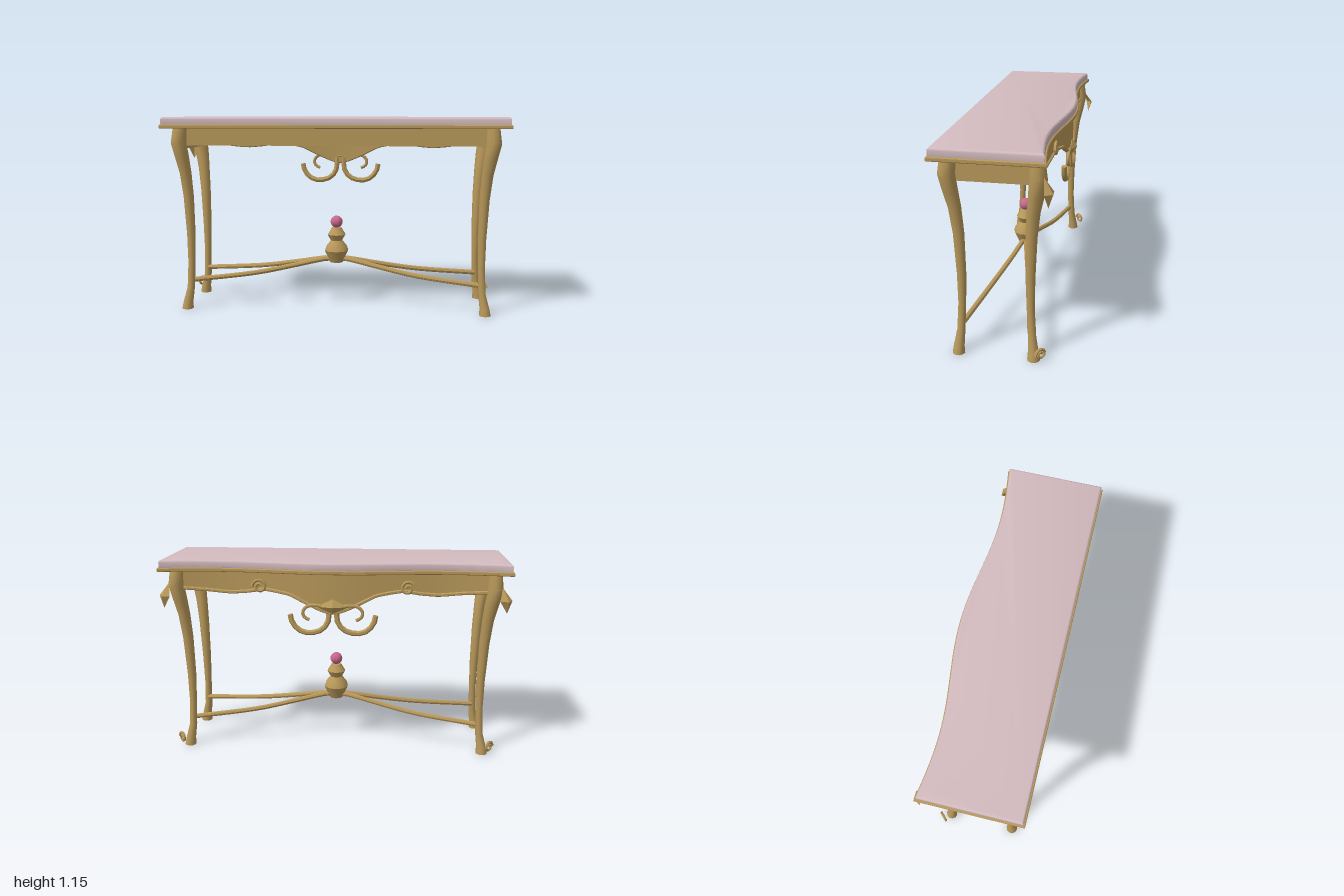
import * as THREE from 'three';
import { toCreasedNormals } from 'three/addons/utils/BufferGeometryUtils.js';

const V = (x, y, z) => new THREE.Vector3(x, y, z);
const mat = (name, color) => {
  const m = new THREE.MeshStandardMaterial({ color });
  m.name = name;
  return m;
};

export function createModel() {
  const group = new THREE.Group();
  const gold = mat('gold', 0xb8985a);
  const leafGold = mat('gold leaf', 0xb8985a);
  leafGold.side = THREE.DoubleSide;
  const marble = mat('pale pink', 0xd2babe);
  const rose = mat('rose', 0xc9688c);

  const add = (name, geo, material = gold, crease = 0.7) => {
    const mesh = new THREE.Mesh(crease ? toCreasedNormals(geo, crease) : geo, material);
    mesh.name = name;
    group.add(mesh);
    return mesh;
  };

  // Serpentine edge of the ornate side
  const backZ = (x) => -0.267 - 0.03 * Math.cos((Math.PI * x) / 0.65);

  // Top outline, inset by d, with shape y = -z
  const outline = (d) => {
    const pts = [new THREE.Vector2(-1 + d, -0.3 + d), new THREE.Vector2(1 - d, -0.3 + d)];
    for (let i = 0; i <= 40; i++) {
      const x = (1 - d) * (1 - i / 20);
      pts.push(new THREE.Vector2(x, -backZ(x) - d));
    }
    return pts;
  };

  // Tabletop slab with softened edges
  const slab = new THREE.ExtrudeGeometry(new THREE.Shape(outline(0.022)), {
    depth: 0.029, bevelThickness: 0.013, bevelSize: 0.013, bevelSegments: 3,
  });
  slab.rotateX(-Math.PI / 2).translate(0, 1.108, 0);
  add('tabletop', slab, marble);

  // Gold moulding round the tabletop
  const rim = new THREE.Shape(outline(0.004));
  rim.holes.push(new THREE.Path(outline(0.026).reverse()));
  const rimGeo = new THREE.ExtrudeGeometry(rim, {
    depth: 0.014, bevelThickness: 0.004, bevelSize: 0.004, bevelSegments: 1,
  });
  rimGeo.rotateX(-Math.PI / 2).translate(0, 1.089, 0);
  add('tabletopMoulding', rimGeo);

  // Plain aprons
  add('plainApron', new THREE.BoxGeometry(1.76, 0.115, 0.022).translate(0, 1.0425, 0.205));
  for (const s of [-1, 1]) {
    add('sideApron', new THREE.BoxGeometry(0.022, 0.135, 0.4).translate(s * 0.89, 1.0325, 0.005));
  }

  // Carved apron: a box bent to the serpentine edge with a scalloped bottom
  const scallop = [[0, 0.86], [0.06, 0.872], [0.15, 0.913], [0.24, 0.958], [0.32, 0.975],
    [0.4, 0.984], [0.5, 0.967], [0.6, 0.96], [0.72, 0.972], [0.9, 0.985]];
  const bottomY = (x) => {
    const a = Math.abs(x);
    const i = Math.max(1, scallop.findIndex((p) => p[0] >= a));
    const [p, q] = [scallop[i - 1], scallop[i]];
    return THREE.MathUtils.mapLinear(a, p[0], q[0], p[1], q[1]);
  };
  const apron = new THREE.BoxGeometry(1.76, 1, 0.02, 48, 1, 1);
  const ap = apron.attributes.position;
  for (let i = 0; i < ap.count; i++) {
    const x = ap.getX(i);
    ap.setY(i, ap.getY(i) > 0 ? 1.1 : bottomY(x));
    ap.setZ(i, backZ(x) + 0.04 + ap.getZ(i));
  }
  add('carvedApron', apron);

  // Capped tube through a list of points
  const tube = (name, pts, r, segs = 12, sides = 7) => {
    const curve = new THREE.CatmullRomCurve3(pts);
    add(name, new THREE.TubeGeometry(curve, segs, r, sides));
    for (const t of [0, 1]) {
      const cap = new THREE.CircleGeometry(r, sides);
      const dir = curve.getTangentAt(t).multiplyScalar(t ? 1 : -1);
      cap.applyQuaternion(new THREE.Quaternion().setFromUnitVectors(V(0, 0, 1), dir));
      const p = curve.getPointAt(t);
      add(name + 'End', cap.translate(p.x, p.y, p.z), gold, 0);
    }
  };
  const edge = [];
  for (let i = 0; i <= 36; i++) {
    const x = 0.88 * (i / 18 - 1);
    edge.push(V(x, bottomY(x) + 0.004, backZ(x) + 0.03));
  }
  tube('carvedApronEdge', edge, 0.01, 72, 6);

  // Small spiral facing along a horizontal direction given by angle about y
  const spiral = (name, c, R, r, turn, s) => {
    const pts = [];
    for (let i = 0; i <= 12; i++) {
      const a = i * 0.75;
      const k = R * (1 - i / 17);
      pts.push(V(s * k * Math.cos(a), k * Math.sin(a), 0)
        .applyAxisAngle(V(0, 1, 0), turn).add(c));
    }
    tube(name, pts, r, 16, 6);
  };

  // Cabriole legs: rows of [x, y, z, radius]
  const rows = [
    [0.9, 1.09, 0.215, 0.04], [0.907, 1.0, 0.223, 0.045], [0.892, 0.91, 0.211, 0.04],
    [0.879, 0.82, 0.196, 0.034], [0.868, 0.68, 0.184, 0.03], [0.861, 0.45, 0.178, 0.025],
    [0.862, 0.28, 0.18, 0.021], [0.868, 0.13, 0.188, 0.022], [0.885, 0.04, 0.198, 0.029],
    [0.888, 0, 0.2, 0.034],
  ];
  for (const sx of [-1, 1]) {
    for (const sz of [-1, 1]) {
      const g = new THREE.CylinderGeometry(1, 1, 1, 10, rows.length - 1);
      const p = g.attributes.position;
      for (let i = 0; i < p.count; i++) {
        const [x, y, z, r] = rows[Math.round((0.5 - p.getY(i)) * (rows.length - 1))];
        p.setXYZ(i, sx * x + p.getX(i) * r, y, sz * z + 0.005 + p.getZ(i) * r);
      }
      add(sz > 0 ? 'plainSideLeg' : 'carvedSideLeg', g);
      // Crossed stretchers rising to the middle
      tube('stretcher', [V(sx * 0.862, 0.172, sz * 0.175 + 0.005), V(sx * 0.48, 0.208, sz * 0.105 + 0.005),
        V(sx * 0.24, 0.25, sz * 0.05 + 0.005), V(sx * 0.06, 0.284, sz * 0.012 + 0.005),
        V(0, 0.285, 0.005)], 0.015, 12, 8);
    }

    // Knee leaf: a ridged diamond facing out from the corner
    const top = [sx * 0.94, 1.02, -0.25], low = [sx * 0.968, 0.88, -0.275];
    const out = [sx * 0.996, 0.95, -0.258], inn = [sx * 0.925, 0.95, -0.296];
    const mid = [sx * 0.972, 0.95, -0.298];
    const leaf = new THREE.BufferGeometry();
    leaf.setAttribute('position', new THREE.Float32BufferAttribute(
      [[top, out, mid], [out, low, mid], [low, inn, mid], [inn, top, mid]]
        .flatMap((t) => (sx > 0 ? t : t.slice().reverse())).flat(), 3));
    leaf.computeVertexNormals();
    add('kneeLeaf', leaf, leafGold, 0);

    // Scrolls at the foot and on the carved apron
    spiral('footScroll', V(sx * 0.925, 0.06, -0.237), 0.033, 0.008, sx * -Math.PI / 4, sx);
    spiral('apronScroll', V(sx * 0.42, 1.004, backZ(0.42) + 0.02), 0.042, 0.009, 0, sx);

    // Hanging scrolls beside the centre leaf
    const path = (pts, z) => pts.map(([x, y]) => V(sx * x, y, z));
    tube('largeScroll', path([[0.02, 0.89], [0.028, 0.81], [0.065, 0.763], [0.14, 0.744],
      [0.195, 0.761], [0.232, 0.805], [0.243, 0.85]], -0.256), 0.016, 10);
    tube('smallScroll', path([[0.04, 0.9], [0.11, 0.908], [0.15, 0.898], [0.17, 0.868],
      [0.16, 0.838], [0.132, 0.824]], -0.268), 0.01, 12);
  }

  // Centre leaf of the carved apron
  add('centreLeaf', new THREE.OctahedronGeometry(1).scale(0.09, 0.045, 0.03)
    .translate(0, 0.9, -0.272), gold, 0.1);

  // Turned finial on the crossing
  const profile = [[0, 0.262], [0.04, 0.262], [0.074, 0.335], [0.066, 0.36], [0.036, 0.398],
    [0.056, 0.434], [0.03, 0.477], [0, 0.482]].map(([x, y]) => new THREE.Vector2(x, y));
  add('finial', new THREE.LatheGeometry(profile, 10).translate(0, 0, 0.007));
  add('finialBall', new THREE.SphereGeometry(0.037, 14, 10).translate(0, 0.513, 0.007), rose);

  return group;
}
